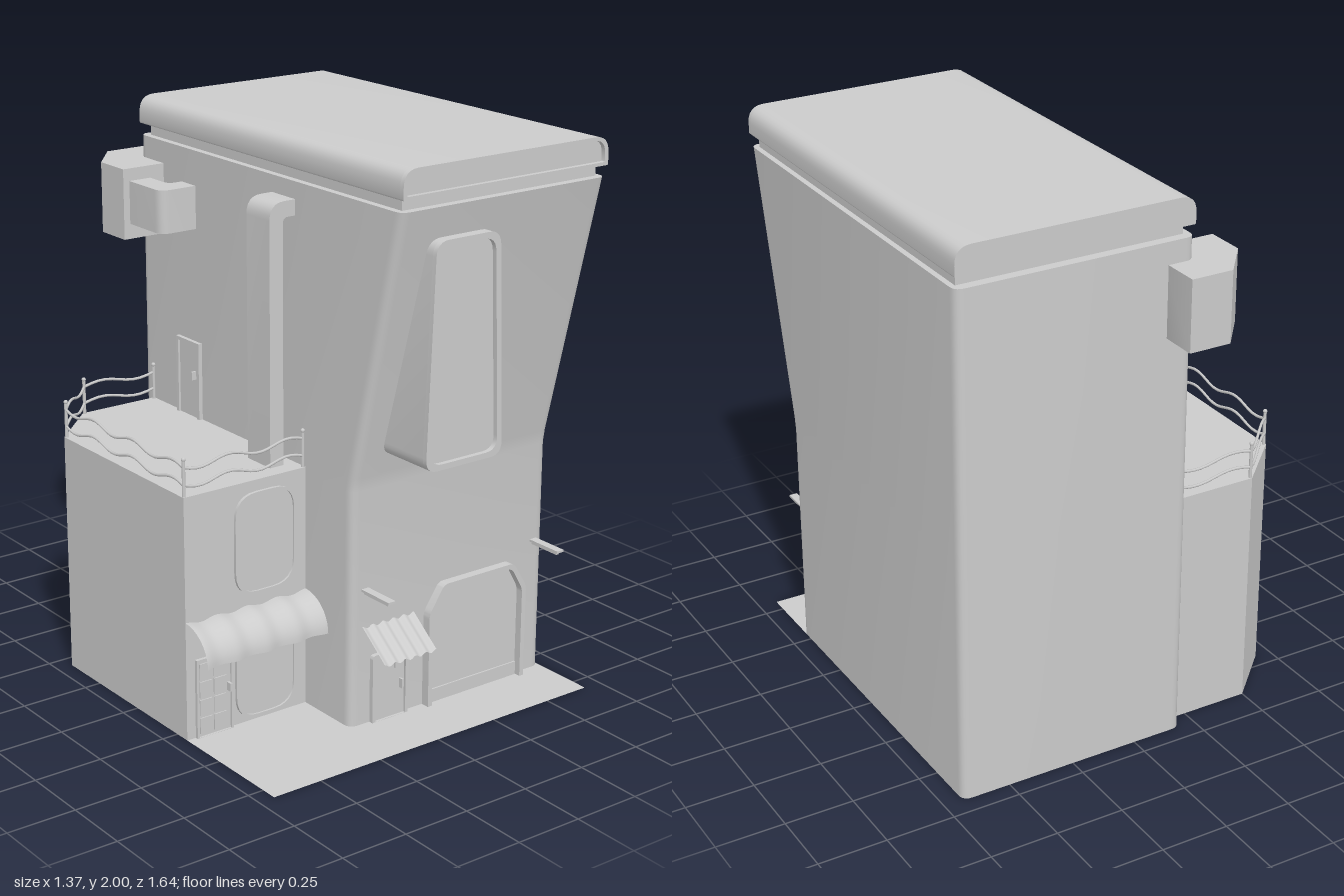
import * as THREE from 'three';
import { toCreasedNormals } from 'three/addons/utils/BufferGeometryUtils.js';

const V = (x, y, z) => new THREE.Vector3(x, y, z);

export function createModel() {
  const root = new THREE.Group();
  const mat = new THREE.MeshStandardMaterial({ color: 0xcccccc, side: THREE.DoubleSide });

  const add = (name, geo, x = 0, y = 0, z = 0, parent = root) => {
    const mesh = new THREE.Mesh(geo, mat);
    mesh.name = name;
    mesh.position.set(x, y, z);
    parent.add(mesh);
    return mesh;
  };
  // Box given by its limits
  const block = (name, x0, x1, y0, y1, z0, z1) =>
    add(name, new THREE.BoxGeometry(x1 - x0, y1 - y0, z1 - z0), (x0 + x1) / 2, (y0 + y1) / 2, (z0 + z1) / 2);

  // Closed counter-clockwise polygon with every corner rounded by its own radius [x, y, r]
  const rounded = (pts, target = new THREE.Shape()) => {
    pts.forEach(([x, y, r = 0], i) => {
      const p = new THREE.Vector2(x, y);
      const toward = (q) => new THREE.Vector2(q[0], q[1]).sub(p).setLength(r).add(p);
      const a = toward(pts[(i + pts.length - 1) % pts.length]);
      const b = toward(pts[(i + 1) % pts.length]);
      if (i === 0) target.moveTo(a.x, a.y); else target.lineTo(a.x, a.y);
      if (r > 0) target.quadraticCurveTo(x, y, b.x, b.y);
    });
    target.closePath();
    return target;
  };
  const rect = (x0, x1, y0, y1, rb, rt = rb) => [[x0, y0, rb], [x1, y0, rb], [x1, y1, rt], [x0, y1, rt]];

  // Outline in x/y pushed from z0 to z1
  const slab = (name, pts, z0, z1, hole) => {
    const shape = rounded(pts);
    if (hole) shape.holes.push(rounded(hole, new THREE.Path()));
    const geo = new THREE.ExtrudeGeometry(shape, { depth: z1 - z0, bevelEnabled: false, curveSegments: 6 });
    return add(name, toCreasedNormals(geo, 0.6), 0, 0, z0);
  };
  // Outline in x/z raised from y0 to y1
  const plan = (name, pts, y0, y1) => {
    const shape = rounded(pts.map(([x, z, r]) => [x, -z, r]));
    const geo = new THREE.ExtrudeGeometry(shape, { depth: y1 - y0, bevelEnabled: false, curveSegments: 6 });
    return add(name, toCreasedNormals(geo.rotateX(-Math.PI / 2), 0.6), 0, y0, 0);
  };
  // Walls through outlines [y, points], closed on top and open below
  const shell = (name, rings) => {
    const pos = [], idx = [];
    let n = 0;
    rings.forEach(([y, pts]) => {
      const outline = rounded(pts.map(([x, z, r]) => [x, -z, r])).getPoints(5)
        .filter((p, i, all) => i === 0 || (p.distanceTo(all[i - 1]) > 1e-5 && p.distanceTo(all[0]) > 1e-5));
      n = outline.length;
      outline.forEach((p) => pos.push(p.x, y, -p.y));
    });
    for (let k = 0; k < rings.length - 1; k++) {
      for (let j = 0; j < n; j++) {
        const a = k * n + j, b = k * n + (j + 1) % n;
        idx.push(a, b, b + n, a, b + n, a + n);
      }
    }
    const top = (rings.length - 1) * n;
    for (let j = 1; j < n - 1; j++) idx.push(top, top + j, top + j + 1);
    const geo = new THREE.BufferGeometry();
    geo.setAttribute('position', new THREE.Float32BufferAttribute(pos, 3));
    geo.setIndex(idx);
    return add(name, toCreasedNormals(geo, 0.6));
  };
  const sheet = (name, nu, nv, fn) => {
    const geo = new THREE.PlaneGeometry(1, 1, nu, nv);
    const p = geo.attributes.position;
    for (let i = 0; i < p.count; i++) p.setXYZ(i, ...fn(p.getX(i) + 0.5, 0.5 - p.getY(i)));
    geo.computeVertexNormals();
    return add(name, geo);
  };

  // Ground, running in under the garage
  const ground = rounded([[-0.69, -0.81], [0.68, -0.81], [0.68, 0.09], [0.13, 0.09], [0.13, -0.12], [-0.69, -0.12]]);
  add('ground', new THREE.ShapeGeometry(ground).rotateX(-Math.PI / 2));

  // Tower with a front that leans out above the bend
  const towerRing = (y, zf) => [y, [[-0.19, zf, 0.035], [0.68, zf, 0.035], [0.68, -0.685, 0.035], [-0.19, -0.685, 0.035]]];
  shell('tower', [towerRing(0, 0.565), towerRing(0.86, 0.565), towerRing(0.91, 0.573), towerRing(1.86, 0.805)]);
  block('roofNeck', -0.165, 0.66, 1.85, 1.91, -0.65, 0.775);
  const roof = rect(-0.19, 0.68, 1.9, 2, 0.005, 0.06);
  slab('roof', roof, -0.685, 0.795);
  slab('roofRim', roof, 0.795, 0.812, rect(-0.175, 0.665, 1.912, 1.988, 0.004, 0.05));

  // Tall tapered bay window
  const bay = (d) => [[-0.085 + d, 0.98 + d, 0.05], [0.242 - d, 0.98 + d, 0.05], [0.212 - d, 1.752 - d, 0.05], [-0.055 + d, 1.752 - d, 0.05]];
  slab('bayWindow', bay(0), 0.57, 0.8);
  slab('bayWindowFrame', bay(0), 0.8, 0.818, bay(0.02));

  // Garage: arched frame, door and the room behind
  const arch = (d) => [[0.13 + d, 0], [0.575 - d, 0], [0.575 - d, 0.35 - d / 2, 0.02], [0.515 - d / 2, 0.448 - d, 0.02],
    [0.195 + d / 2, 0.448 - d, 0.02], [0.13 + d, 0.35 - d / 2, 0.02]];
  const frame = arch(0.018);
  slab('garageFrame', [...arch(0).slice(1), arch(0)[0], frame[0], ...frame.slice(2).reverse(), frame[1]], 0.56, 0.598);
  slab('garageDoor', frame, 0.56, 0.57);
  block('garageDoorBar', 0.15, 0.555, 0, 0.05, 0.565, 0.576);
  slab('garageRoom', arch(0), -0.09, 0.555);

  // Brackets above the garage and the entrance
  for (const x of [-0.13, 0.63]) {
    block('bracketPlate', x - 0.015, x + 0.015, 0.497, 0.505, 0.56, 0.71);
    block('bracketRib', x - 0.005, x + 0.005, 0.485, 0.497, 0.56, 0.695);
  }

  // Entrance door with its small awning
  slab('entranceFrame', rect(-0.105, 0.052, 0, 0.252, 0, 0.015), 0.56, 0.582, rect(-0.092, 0.04, 0.001, 0.24, 0, 0.01));
  block('entranceDoor', -0.092, 0.04, 0, 0.24, 0.56, 0.573);
  block('entranceHandle', 0.018, 0.025, 0.1, 0.135, 0.57, 0.59);
  block('entrancePlate', -0.005, 0.003, 0.18, 0.21, 0.57, 0.58);
  block('entranceLamp', -0.045, 0, 0.232, 0.243, 0.57, 0.59);
  sheet('entranceAwning', 48, 4, (u, v) => {
    const wave = 0.005 * Math.cos(u * Math.PI * 10);
    return [-0.14 + 0.225 * u, 0.362 - 0.098 * v + wave, 0.563 + 0.127 * v];
  });

  // Side annex with a cut back corner
  const foot = [[-0.69, 0.31], [-0.18, 0.31], [-0.18, -0.625], [-0.5, -0.625], [-0.69, -0.44]];
  shell('annex', [[0, foot], [0.88, foot]]);
  for (const [y0, y1] of [[0.015, 0.37], [0.475, 0.84]]) {
    slab('annexWindowFrame', rect(-0.49, -0.24, y0, y1, 0.09), 0.305, 0.321, rect(-0.483, -0.247, y0 + 0.007, y1 - 0.007, 0.085));
    slab('annexWindowPane', rect(-0.483, -0.247, y0 + 0.007, y1 - 0.007, 0.085), 0.305, 0.314);
  }

  // Panelled annex door
  slab('annexDoorFrame', rect(-0.655, -0.505, 0, 0.29, 0), 0.305, 0.322, rect(-0.647, -0.513, 0.001, 0.282, 0));
  block('annexDoor', -0.647, -0.513, 0, 0.282, 0.305, 0.314);
  for (let r = 0; r < 4; r++) {
    for (const x of [-0.64, -0.582]) block('annexDoorPanel', x, x + 0.05, 0.012 + r * 0.067, 0.07 + r * 0.067, 0.312, 0.318);
  }
  block('annexDoorHandle', -0.527, -0.518, 0.145, 0.175, 0.312, 0.335);

  // Rippled, curved awning along the annex front
  sheet('annexAwning', 60, 12, (u, v) => {
    const a = v * Math.PI / 2, r = 1 + 0.045 * Math.cos(u * Math.PI * 8);
    return [-0.69 + 0.5 * u, 0.31 + 0.118 * Math.cos(a) * r, 0.31 + 0.125 * Math.sin(a) * r];
  });

  // Terrace railing: posts and two wavy rails
  const railing = new THREE.Group();
  railing.name = 'railing';
  root.add(railing);
  const corners = [[-0.197, 0.302], [-0.683, 0.302], [-0.683, -0.435], [-0.497, -0.617], [-0.197, -0.617]];
  corners.forEach(([x, z], i) => {
    add('railPost', new THREE.CylinderGeometry(0.006, 0.006, 0.13, 8), x, 0.945, z, railing);
    add('railKnob', new THREE.SphereGeometry(0.008, 8, 6), x, 1.01, z, railing);
    if (i === 0) return;
    const [px, pz] = corners[i - 1];
    const waves = Math.max(1, Math.round(Math.hypot(x - px, z - pz) / 0.25));
    for (const y of [0.92, 0.982]) {
      const pts = Array.from({ length: waves * 8 + 1 }, (_, k) => {
        const t = k / (waves * 8);
        return V(px + (x - px) * t, y + 0.012 * Math.sin(t * waves * 2 * Math.PI), pz + (z - pz) * t);
      });
      add('rail', new THREE.TubeGeometry(new THREE.CatmullRomCurve3(pts), waves * 10, 0.005, 6), 0, 0, 0, railing);
    }
  });

  // Terrace door in the tower side
  block('terraceDoor', -0.197, -0.185, 0.88, 1.155, -0.44, -0.32);
  for (const z of [-0.452, -0.322]) block('terraceDoorJamb', -0.205, -0.185, 0.88, 1.165, z, z + 0.014);
  block('terraceDoorLintel', -0.205, -0.185, 1.152, 1.165, -0.452, -0.308);
  block('terraceDoorHandle', -0.215, -0.195, 1.025, 1.055, -0.345, -0.336);

  // Square flue that bends into the tower
  slab('flue', [[-0.295, 0.88], [-0.24, 0.88], [-0.24, 1.745, 0.02], [-0.18, 1.745], [-0.18, 1.8], [-0.295, 1.8, 0.06]], 0.12, 0.25);

  // Air unit on the back corner and its duct
  plan('airUnit', [[-0.36, -0.535], [-0.15, -0.535], [-0.09, -0.66], [-0.09, -0.82], [-0.245, -0.82], [-0.36, -0.68]], 1.525, 1.78);
  plan('airDuct', [[-0.335, -0.335, 0.04], [-0.18, -0.335], [-0.18, -0.42], [-0.247, -0.42, 0.03], [-0.247, -0.545], [-0.335, -0.545]], 1.58, 1.735);

  return root;
}
